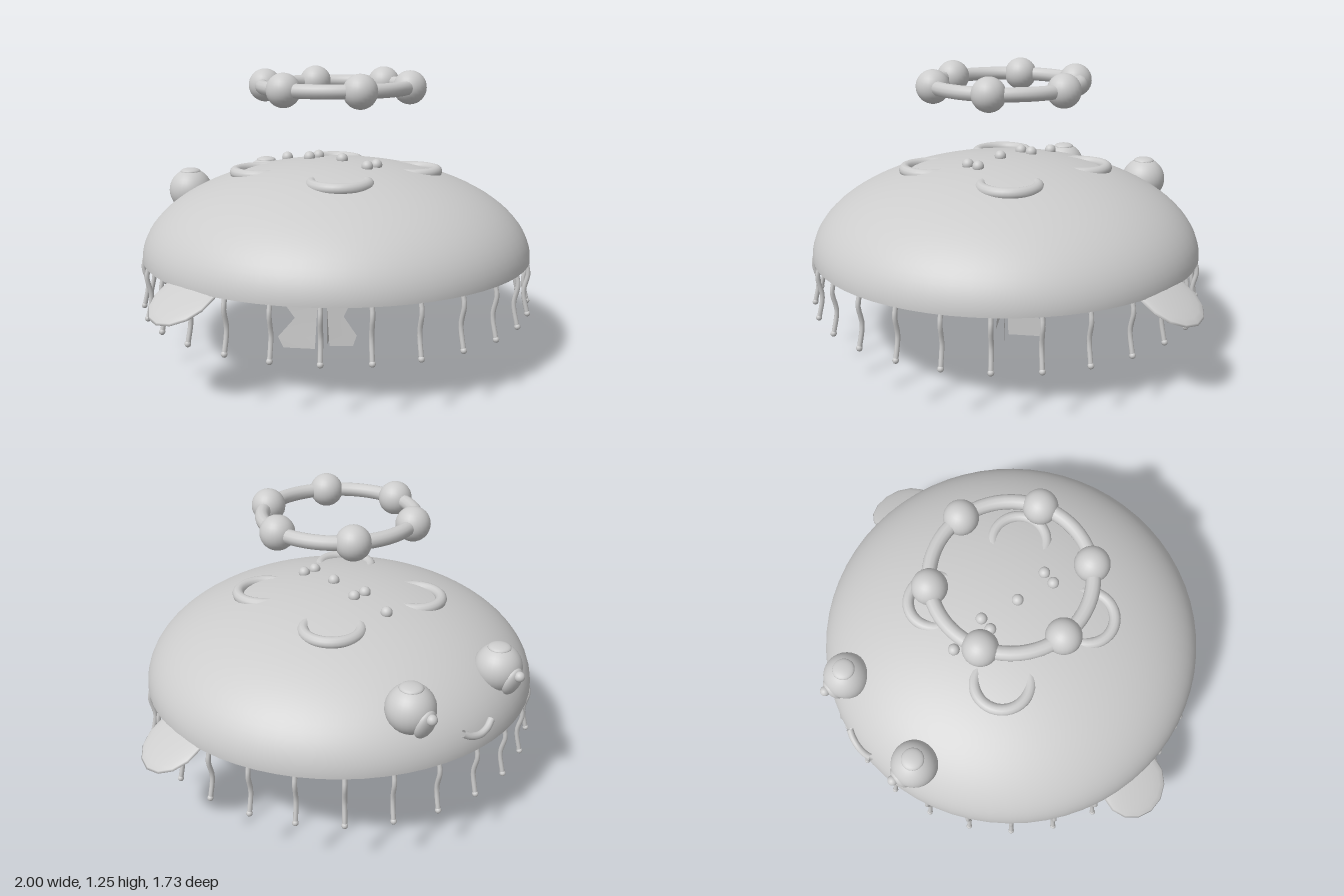
import * as THREE from 'three';

const R = 0.85, H = 0.41, RIM = 0.45;
const skin = new THREE.MeshStandardMaterial({ color: 0xcccccc, side: THREE.DoubleSide });
skin.name = 'pale grey';

// height of the bell surface above a point
const bellY = (x, z) => RIM + H * Math.sqrt(Math.max(0, 1 - (x * x + z * z) / (R * R)));

function add(parent, name, geometry, x = 0, y = 0, z = 0) {
  const mesh = new THREE.Mesh(geometry, skin);
  mesh.name = name;
  mesh.position.set(x, y, z);
  parent.add(mesh);
  return mesh;
}

const ball = (r, w = 20, h = 14) => new THREE.SphereGeometry(r, w, h);

// flat ribbon with a straight inner edge and a zigzag outer edge
function ribbon(topInner, topOuter, bottomInner, bottomOuter) {
  const rows = [[0.43, 0.8], [0.39, 1], [0.31, 0.6], [0.22, 1], [0.14, 0.6], [0.05, 1], [0, 0.82]];
  const pos = [], index = [];
  rows.forEach(([y, w], i) => {
    const t = 1 - y / 0.43;
    const mix = (a, b, k) => a + (b - a) * k;
    const inner = [0, 1].map(k => mix(topInner[k], bottomInner[k], t));
    const outer = [0, 1].map(k => mix(topOuter[k], bottomOuter[k], t));
    pos.push(inner[0], y, inner[1]);
    pos.push(mix(inner[0], outer[0], w), y, mix(inner[1], outer[1], w));
    if (i) {
      const a = 2 * i - 2;
      index.push(a, a + 2, a + 1, a + 1, a + 2, a + 3);
    }
  });
  const g = new THREE.BufferGeometry();
  g.setAttribute('position', new THREE.Float32BufferAttribute(pos, 3));
  g.setIndex(index);
  g.computeVertexNormals();
  return g;
}

export function createModel() {
  const model = new THREE.Group();
  model.name = 'jellyfish';

  // hollow bell
  const bell = add(model, 'bell', new THREE.SphereGeometry(1, 64, 24, 0, Math.PI * 2, 0, Math.PI / 2), 0, RIM, 0);
  bell.scale.set(R, H, R);

  // fringe of bent tentacles with round tips
  const path = new THREE.CatmullRomCurve3([[0.84, 0.45], [0.848, 0.41], [0.832, 0.33], [0.85, 0.235]]
    .map(([r, y]) => new THREE.Vector3(0, y, r)));
  const strand = new THREE.TubeGeometry(path, 10, 0.01, 8);
  const tip = ball(0.013, 10, 8);
  for (let i = 0; i < 28; i++) {
    const tentacle = new THREE.Group();
    tentacle.name = 'tentacle';
    tentacle.rotation.y = (i / 28) * Math.PI * 2;
    add(tentacle, 'tentacleStrand', strand);
    add(tentacle, 'tentacleTip', tip, 0, 0.234, 0.851);
    model.add(tentacle);
  }

  // frilly mouth arms, each given as x, z corners
  const arms = [
    [[-0.05, -0.05], [-0.16, -0.15], [-0.1, -0.04], [-0.2, -0.185]],
    [[-0.04, -0.04], [0.03, 0.035], [-0.025, -0.02], [0.06, 0.08]],
    [[-0.03, -0.03], [0.1, -0.125], [-0.02, -0.04], [0.13, -0.14]],
  ];
  for (const a of arms) add(model, 'mouthArm', ribbon(...a));

  // four rings inside the crown, breaking through the surface
  const ring = new THREE.TorusGeometry(0.117, 0.025, 12, 36).rotateX(Math.PI / 2);
  for (const x of [-0.23, 0.23])
    for (const z of [-0.23, 0.23]) add(model, 'innerRing', ring, x, 0.808, z);

  // crown spots
  for (const [x, z] of [[-0.03, 0.205], [0.03, 0.205], [0, 0.035], [-0.03, -0.135], [0.03, -0.135], [0, -0.305]])
    add(model, 'crownSpot', ball(0.025), x, bellY(x, z) + 0.007, z);

  // floating halo with beads
  const halo = new THREE.Group();
  halo.name = 'halo';
  halo.position.y = 1.18;
  model.add(halo);
  add(halo, 'haloRing', new THREE.TorusGeometry(0.32, 0.03, 12, 64).rotateX(Math.PI / 2));
  for (let i = 0; i < 6; i++) {
    const a = (i / 6) * Math.PI * 2;
    add(halo, 'haloBead', ball(0.072, 24, 16), 0.32 * Math.cos(a), 0, 0.32 * Math.sin(a));
  }

  for (const s of [-1, 1]) {
    // eyes on the rear face
    const eye = new THREE.Group();
    eye.name = s > 0 ? 'leftEye' : 'rightEye';
    eye.position.set(s * 0.245, 0.67, -0.71);
    model.add(eye);
    add(eye, 'eyeball', ball(0.1, 28, 20));
    add(eye, 'eyeCap', ball(0.048), 0, 0.088, 0).scale.y = 0.35;
    const pupil = add(eye, 'pupil', ball(0.065), 0, -0.033, -0.08);
    pupil.scale.set(0.8, 1, 0.42);
    pupil.rotation.x = -0.25;
    add(eye, 'eyeGlint', ball(0.022), 0, 0.002, -0.113);

    // drooping side fins
    const fin = add(model, s > 0 ? 'leftFin' : 'rightFin', ball(1, 14, 10), s * 0.86, 0.427, 0);
    fin.scale.set(0.16, 0.02, 0.15);
    fin.rotation.z = -s * 0.53;
  }

  // smile following the rim
  const smile = [-0.08, -0.045, 0, 0.045, 0.08].map(x => {
    const y = 0.518 + 4.5 * x * x;
    const r = R * Math.sqrt(1 - ((y - RIM) / H) ** 2) + 0.012;
    return new THREE.Vector3(x, y, -Math.sqrt(r * r - x * x));
  });
  add(model, 'smile', new THREE.TubeGeometry(new THREE.CatmullRomCurve3(smile), 20, 0.015, 10));

  return model;
}
